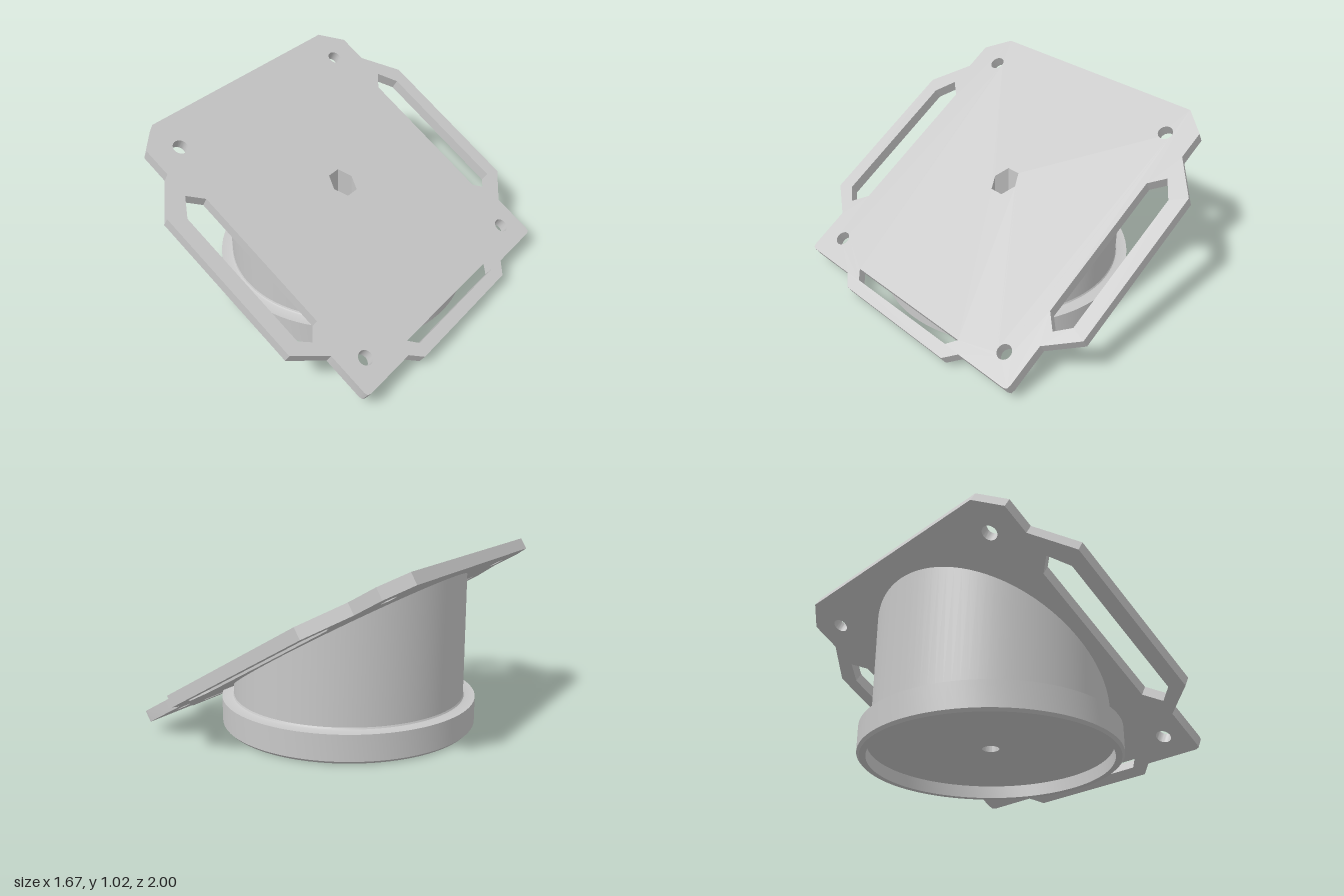
import * as THREE from 'three';
import { toCreasedNormals } from 'three/addons/utils/BufferGeometryUtils.js';

const TILT = Math.PI / 6, C = Math.cos(TILT), T = Math.tan(TILT);
const THICK = 0.065, TOP_Y = 0.563;   // plate thickness, height of its top face at x = 0
const AXIS = -0.047;                  // x of the round base's axis
const HEX = 0.08, BORE = 0.048, FLOOR = 0.2;
const undersideY = (x) => TOP_Y - T * x - THICK / C;

// Points are given as seen from above (x, z); x is stretched onto the slope
const onSlope = (pts) => pts.map(([x, z]) => new THREE.Vector2(x / C, z));
const mirrored = (half) => [...half, ...half.map(([x, z]) => [x, -z]).reverse()];

function plateGeometry() {
  // outline runs counter-clockwise, from the low edge to the high edge
  const half = [
    [0.833, 0.405], [0.775, 0.475], [0.775, 0.8], [0.769, 0.819], [0.75, 0.825], [0.54, 0.825],
    [0.42, 1], [-0.38, 1], [-0.555, 0.825], [-0.7, 0.825], [-0.8, 0.69],
  ];
  const shape = new THREE.Shape(onSlope(mirrored(half)));
  const cut = (pts) => shape.holes.push(new THREE.Path(onSlope(pts)));

  // strap slots
  for (const s of [-1, 1]) {
    cut([[-0.425, 0.832], [-0.33, 0.912], [0.395, 0.912], [0.457, 0.832], [0.386, 0.75], [-0.36, 0.75]]
      .map(([x, z]) => [x, s * z]));
  }
  cut(mirrored([[0.724, 0.42], [0.772, 0.37]]));

  // corner screw holes
  for (const s of [-1, 1]) {
    for (const [x, z] of [[-0.637, 0.652], [0.648, 0.682]]) {
      const hole = new THREE.Path();
      hole.absarc(x / C, s * z, 0.042, 0, Math.PI * 2, true);
      shape.holes.push(hole);
    }
  }

  // hexagonal opening, upright although the plate is tilted
  cut(Array.from({ length: 6 }, (_, i) => {
    const a = i * Math.PI / 3;
    return [AXIS + HEX * Math.sin(a), HEX * Math.cos(a)];
  }));
  const geo = new THREE.ExtrudeGeometry(shape, { depth: THICK, bevelEnabled: false, curveSegments: 16 });
  geo.translate(0, 0, -THICK);
  const p = geo.attributes.position;
  for (let i = 0; i < p.count; i++) {
    const near = Math.hypot(p.getX(i) - AXIS / C, p.getY(i)) < 0.12;
    if (near && p.getZ(i) < -THICK / 2) p.setX(i, p.getX(i) + THICK * T);
  }

  // lay flat, then tilt down towards +x
  geo.rotateX(-Math.PI / 2).rotateZ(-TILT).translate(0, TOP_Y, 0);
  return toCreasedNormals(geo, 0.5);
}

// Upright tube whose top edge follows the plate's underside
function slantedTube(radius, sides, bottom, sink) {
  const geo = new THREE.CylinderGeometry(radius, radius, 1, sides, 1, true);
  const p = geo.attributes.position;
  for (let i = 0; i < p.count; i++) {
    const x = p.getX(i) + AXIS;
    p.setX(i, x);
    p.setY(i, p.getY(i) < 0 ? bottom : Math.max(bottom, undersideY(x) + sink));
  }
  return geo;
}

export function createModel() {
  const model = new THREE.Group();
  const grey = new THREE.MeshStandardMaterial({ color: 0xc8c8c8 });
  grey.name = 'grey';
  const add = (name, geo) => {
    const mesh = new THREE.Mesh(geo, grey);
    mesh.name = name;
    model.add(mesh);
  };

  add('tiltedPlate', plateGeometry());

  // round foot with hollow underside, centre bore and a fillet up to the column
  const profile = [
    [HEX, FLOOR], [BORE, FLOOR], [BORE, 0.075], [0.68, 0.075], [0.68, 0], [0.715, 0],
    [0.73, 0.015], [0.73, 0.16], [0.676, 0.16], [0.667, 0.164], [0.663, 0.173],
  ].map(([r, y]) => new THREE.Vector2(r, y));
  const foot = new THREE.LatheGeometry(profile, 96).translate(AXIS, 0, 0);
  add('roundFoot', toCreasedNormals(foot, 0.6));

  // column cut off by the plate
  add('column', toCreasedNormals(slantedTube(0.663, 96, 0.173, 0.02), 0.6));

  // hexagonal pocket with its walls turned to face inwards
  const pocket = slantedTube(HEX, 6, FLOOR, 0);
  pocket.setIndex([...pocket.index.array].reverse());
  add('hexPocket', toCreasedNormals(pocket, 0.5));

  return model;
}
